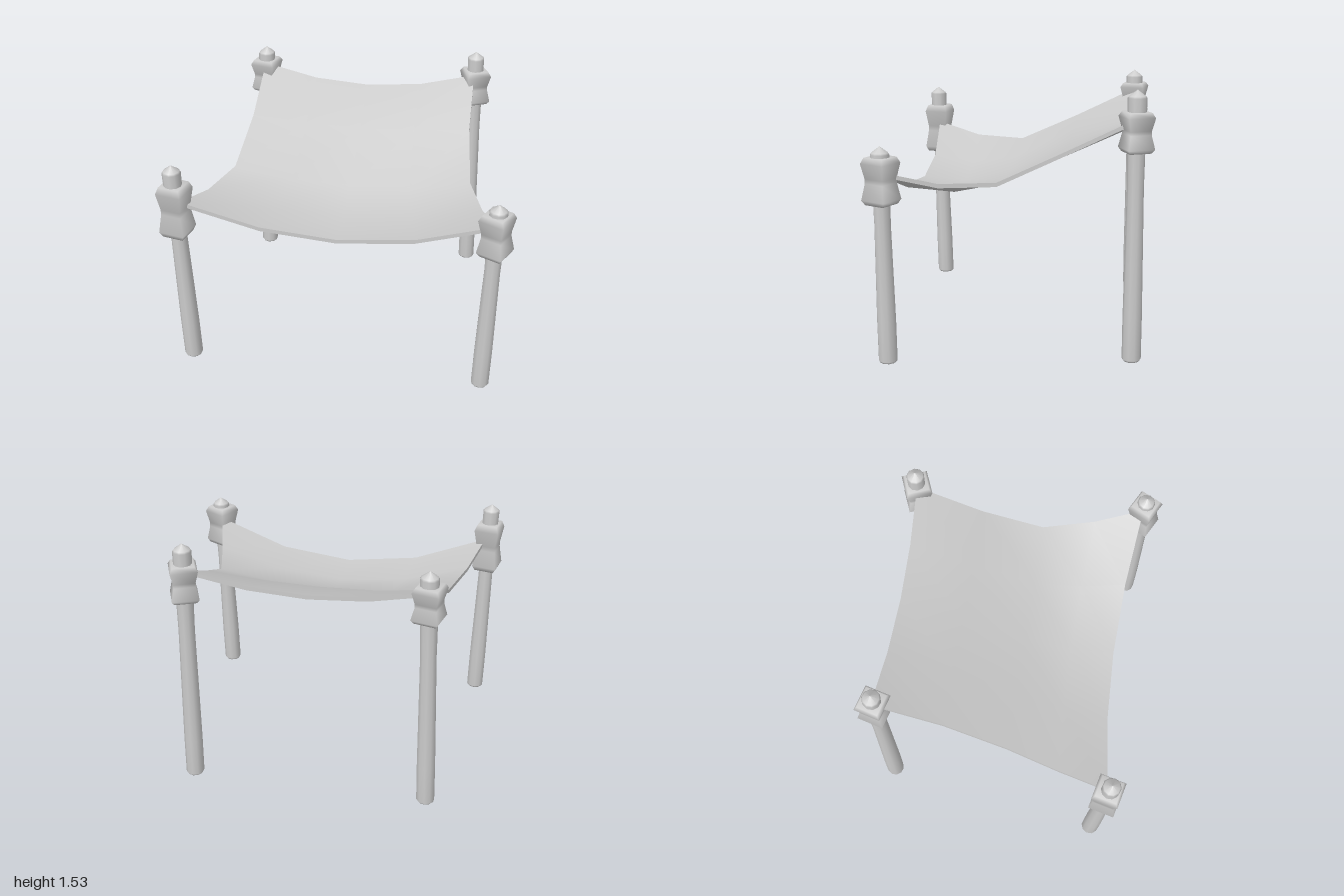
import * as THREE from 'three';

const material = new THREE.MeshStandardMaterial({ color: 0xcccccc });

// Leaning posts: base and top [x, z], height, then the collar's centre height, half height and turn
const POSTS = [
  { name: 'frontRight', base: [-0.89, 0.645], top: [-0.91, 0.68], h: 1.33, y: 1.045, half: 0.16, turn: 32 },
  { name: 'frontLeft', base: [0.86, 0.67], top: [0.89, 0.675], h: 1.235, y: 1.045, half: 0.13, turn: 18 },
  { name: 'backRight', base: [-0.705, -0.69], top: [-0.665, -0.68], h: 1.49, y: 1.3, half: 0.105, turn: 31 },
  { name: 'backLeft', base: [0.705, -0.69], top: [0.685, -0.69], h: 1.53, y: 1.3, half: 0.11, turn: 68 },
];

// Canopy rows from back to front: z and height on the middle line, x, z and height at the side edge
const ROWS = [
  { midZ: -0.665, midY: 1.27, x: 0.68, z: -0.69, y: 1.37 },
  { midZ: -0.3, midY: 1.14, x: 0.68, z: -0.3, y: 1.18 },
  { midZ: 0.07, midY: 0.935, x: 0.715, z: 0.07, y: 1.01 },
  { midZ: 0.35, midY: 0.868, x: 0.8, z: 0.38, y: 1.015 },
  { midZ: 0.61, midY: 0.885, x: 0.885, z: 0.668, y: 1.09 },
];
const THICKNESS = 0.024;

function lathe(profile, sides) {
  return new THREE.LatheGeometry(profile.map(([r, y]) => new THREE.Vector2(r, y)), sides);
}

function createPost({ name, base, top, h, y, half, turn }) {
  const group = new THREE.Group();
  group.name = name + 'Post';

  // Round pole with a domed tip, sheared so its foot stays level
  const pole = lathe([
    [0, 0], [0.046, 0], [0.054, 0.012], [0.054, 0.25], [0.046, h * 0.65],
    [0.05, h * 0.85], [0.053, h - 0.045], [0.046, h - 0.035], [0, h],
  ], 10);
  const p = pole.attributes.position;
  for (let i = 0; i < p.count; i++) {
    const t = p.getY(i) / h;
    p.setX(i, p.getX(i) + THREE.MathUtils.lerp(base[0], top[0], t));
    p.setZ(i, p.getZ(i) + THREE.MathUtils.lerp(base[1], top[1], t));
  }
  const poleMesh = new THREE.Mesh(pole, material);
  poleMesh.name = name + 'Pole';

  // Square rope binding, pinched in the middle
  const collar = new THREE.Mesh(lathe([
    [0, -half], [0.088, -half], [0.108, -half * 0.8], [0.086, -half * 0.1],
    [0.086, half * 0.1], [0.108, half * 0.75], [0.088, half], [0, half],
  ], 4), material);
  collar.name = name + 'Binding';
  const t = y / h;
  collar.position.set(
    THREE.MathUtils.lerp(base[0], top[0], t), y, THREE.MathUtils.lerp(base[1], top[1], t));
  collar.rotation.y = THREE.MathUtils.degToRad(turn);

  group.add(poleMesh, collar);
  return group;
}

// Sagging cloth: a thin slab whose grid is bent to follow the rows
function createCanopy() {
  const geometry = new THREE.BoxGeometry(2, 1, 2, 4, 1, 4);
  const p = geometry.attributes.position;
  for (let i = 0; i < p.count; i++) {
    const u = p.getX(i);
    const row = ROWS[Math.round((p.getZ(i) + 1) * 2)];
    const s = u * u;
    const drop = p.getY(i) < 0 ? THICKNESS : 0;
    p.setXYZ(i, u * row.x,
      THREE.MathUtils.lerp(row.midY, row.y, s) - drop,
      THREE.MathUtils.lerp(row.midZ, row.z, s));
  }
  geometry.computeVertexNormals();
  const mesh = new THREE.Mesh(geometry, material);
  mesh.name = 'canopy';
  return mesh;
}

export function createModel() {
  const model = new THREE.Group();
  model.name = 'canopyShelter';
  POSTS.forEach((post) => model.add(createPost(post)));
  model.add(createCanopy());
  return model;
}
